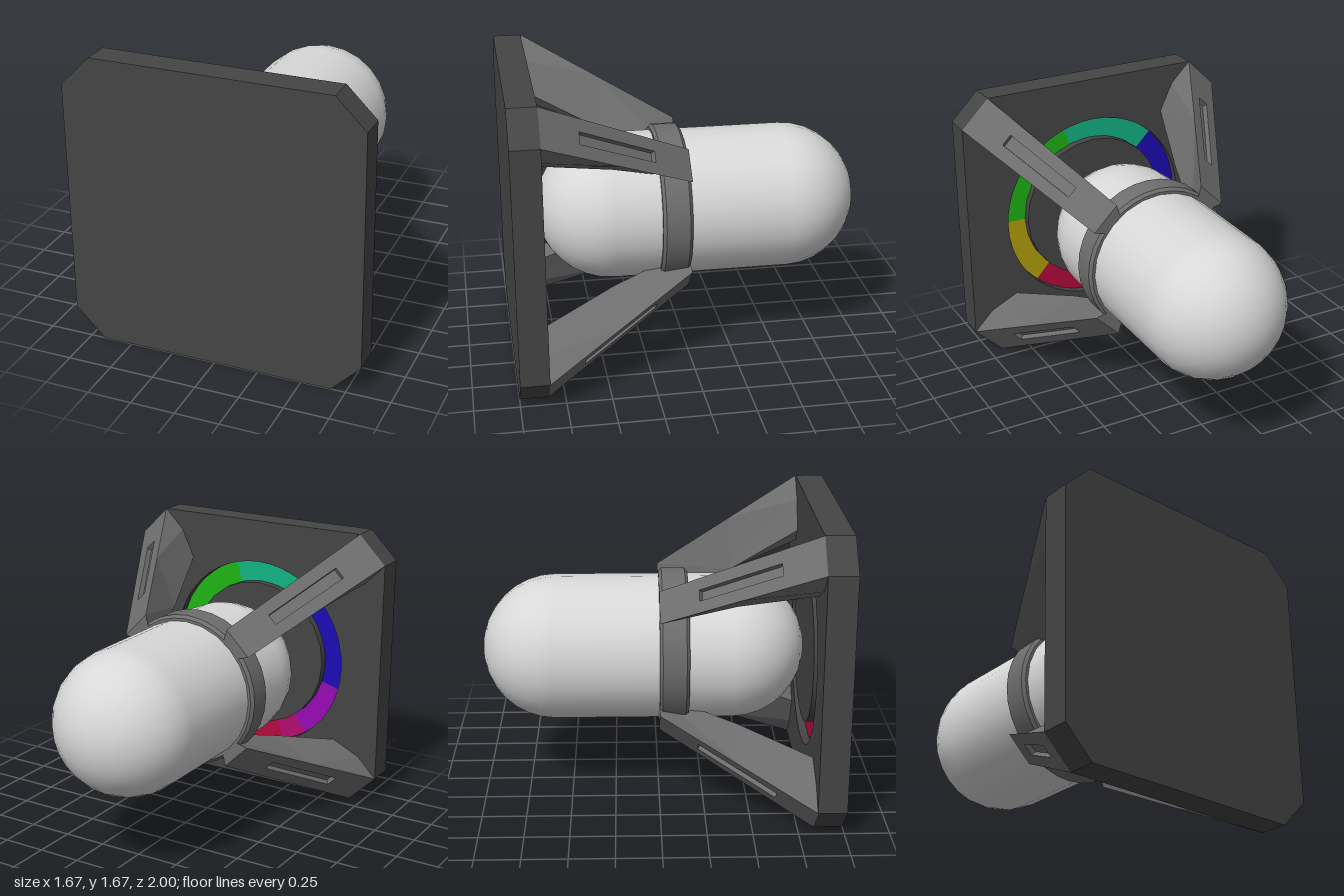
import * as THREE from 'three';

const material = (name, color, side = THREE.FrontSide) => {
  const m = new THREE.MeshStandardMaterial({ color, side });
  m.name = name;
  return m;
};
const add = (parent, name, geometry, mat) => {
  const mesh = new THREE.Mesh(geometry, mat);
  mesh.name = name;
  parent.add(mesh);
  return mesh;
};

// Flat-shaded geometry from a list of convex polygons
function fromPolygons(polygons) {
  const pos = [];
  for (const poly of polygons)
    for (let i = 1; i < poly.length - 1; i++)
      for (const p of [poly[0], poly[i], poly[i + 1]]) pos.push(p.x, p.y, p.z);
  const g = new THREE.BufferGeometry();
  g.setAttribute('position', new THREE.Float32BufferAttribute(pos, 3));
  g.computeVertexNormals();
  return g;
}

// Square outline with cut corners
function plateShape() {
  const a = 0.8335, b = 0.667;
  return new THREE.Shape([[a, -b], [a, b], [b, a], [-b, a], [-a, b], [-a, -b], [-b, -a], [b, -a]]
    .map(([x, y]) => new THREE.Vector2(x, y)));
}

// Diagonal strut: flared foot at the plate, ridge inside, slot cut in the outer face
function strutGeometry() {
  const v = (x, y, z) => new THREE.Vector3(x, y, z);
  const mirror = (p) => v(p.y, p.x, p.z);
  const P = v(0.8335, 0.667, 0.84), P0 = v(0.41, 0.27, 0);
  const K = P.clone().lerp(P0, 0.49);
  const C = v(0.715, 0.547, 0.84), A = v(0.547, 0.467, 0.84);
  const R = v(0.346, 0.346, 0.43), R0 = v(0.22, 0.22, 0);
  const Q = mirror(P), Q0 = mirror(P0);
  const sides = [[P, C, K], [K, C, A, R], [K, R, R0, P0]];
  const polygons = [...sides, ...sides.map((s) => s.map(mirror).reverse()),
    [R, A, mirror(A)], [P0, R0, Q0]];
  // slot
  const outer = [P, P0, Q0, Q];
  const on = (s, t) => P.clone().lerp(P0, s).lerp(Q.clone().lerp(Q0, s), t);
  const rim = [on(0.25, 0.34), on(0.75, 0.34), on(0.75, 0.66), on(0.25, 0.66)];
  const inward = v(-0.581, -0.581, 0.569).multiplyScalar(0.03);
  const floor = rim.map((p) => p.clone().add(inward));
  for (let i = 0; i < 4; i++) {
    const j = (i + 1) % 4;
    polygons.push([outer[i], outer[j], rim[j], rim[i]], [rim[i], rim[j], floor[j], floor[i]]);
  }
  polygons.push(floor);
  return fromPolygons(polygons);
}

export function createModel() {
  const group = new THREE.Group();
  const body = new THREE.Group();
  body.name = 'lampBody';
  body.position.y = 0.8335;
  group.add(body);

  const darkGrey = material('darkGrey', 0x454545);
  const midGrey = material('midGrey', 0x6e6e6e);
  const paleGrey = material('paleGrey', 0xd8d8d8);

  // Plate: solid front slab, back slab with a round trench
  const inner = 0.45, rim = 0.58, trenchZ = 0.89;
  add(body, 'plateFront', new THREE.ExtrudeGeometry(plateShape(),
    { depth: 1 - trenchZ, bevelEnabled: false }), darkGrey).position.z = trenchZ;
  const back = plateShape();
  back.holes.push(new THREE.Path().absarc(0, 0, rim, 0, Math.PI * 2, true));
  add(body, 'plateBack', new THREE.ExtrudeGeometry(back,
    { depth: trenchZ - 0.84, bevelEnabled: false, curveSegments: 24 }), darkGrey).position.z = 0.84;
  const hub = add(body, 'plateHub', new THREE.CylinderGeometry(inner, inner, trenchZ - 0.84, 24), darkGrey);
  hub.rotation.x = Math.PI / 2;
  hub.position.z = (trenchZ + 0.84) / 2;

  // Coloured arcs on the trench floor: name, colour, start and end in degrees
  const arcs = [
    ['green', 0x1fb414, 0, 72], ['teal', 0x12b484, 72, 135], ['blue', 0x1c0cb4, 135, 196],
    ['purple', 0x960cb4, 196, 236], ['magenta', 0xb40c72, 236, 253],
    ['crimson', 0xb40c3c, 253, 312], ['yellow', 0xb4a00c, 312, 360],
  ];
  for (const [name, color, from, to] of arcs) {
    const rad = THREE.MathUtils.degToRad;
    const arc = add(body, name + 'Arc', new THREE.RingGeometry(inner, rim,
      Math.ceil((to - from) / 15), 1, Math.PI - rad(to), rad(to - from)), material(name, color));
    arc.rotation.y = Math.PI;
    arc.position.z = trenchZ - 0.004;
  }

  // Capsule
  const capsule = add(body, 'capsule', new THREE.CapsuleGeometry(0.415, 1, 8, 24), paleGrey);
  capsule.rotation.x = Math.PI / 2;
  capsule.position.z = -0.085;

  // Collar with chamfered edges; each profile segment is its own lathe to keep creases
  const profile = [[0.40, 0], [0.43, 0], [0.447, 0.017], [0.447, 0.148], [0.43, 0.165], [0.40, 0.165]]
    .map(([r, z]) => new THREE.Vector2(r, z));
  const collar = new THREE.Group();
  collar.name = 'collar';
  collar.rotation.x = Math.PI / 2;
  body.add(collar);
  for (let i = 0; i < profile.length - 1; i++)
    add(collar, 'collarBand', new THREE.LatheGeometry([profile[i], profile[i + 1]], 32), midGrey);

  // Four struts
  const strut = strutGeometry();
  for (let i = 0; i < 4; i++) add(body, 'strut', strut, midGrey).rotation.z = i * Math.PI / 2;

  return group;
}
